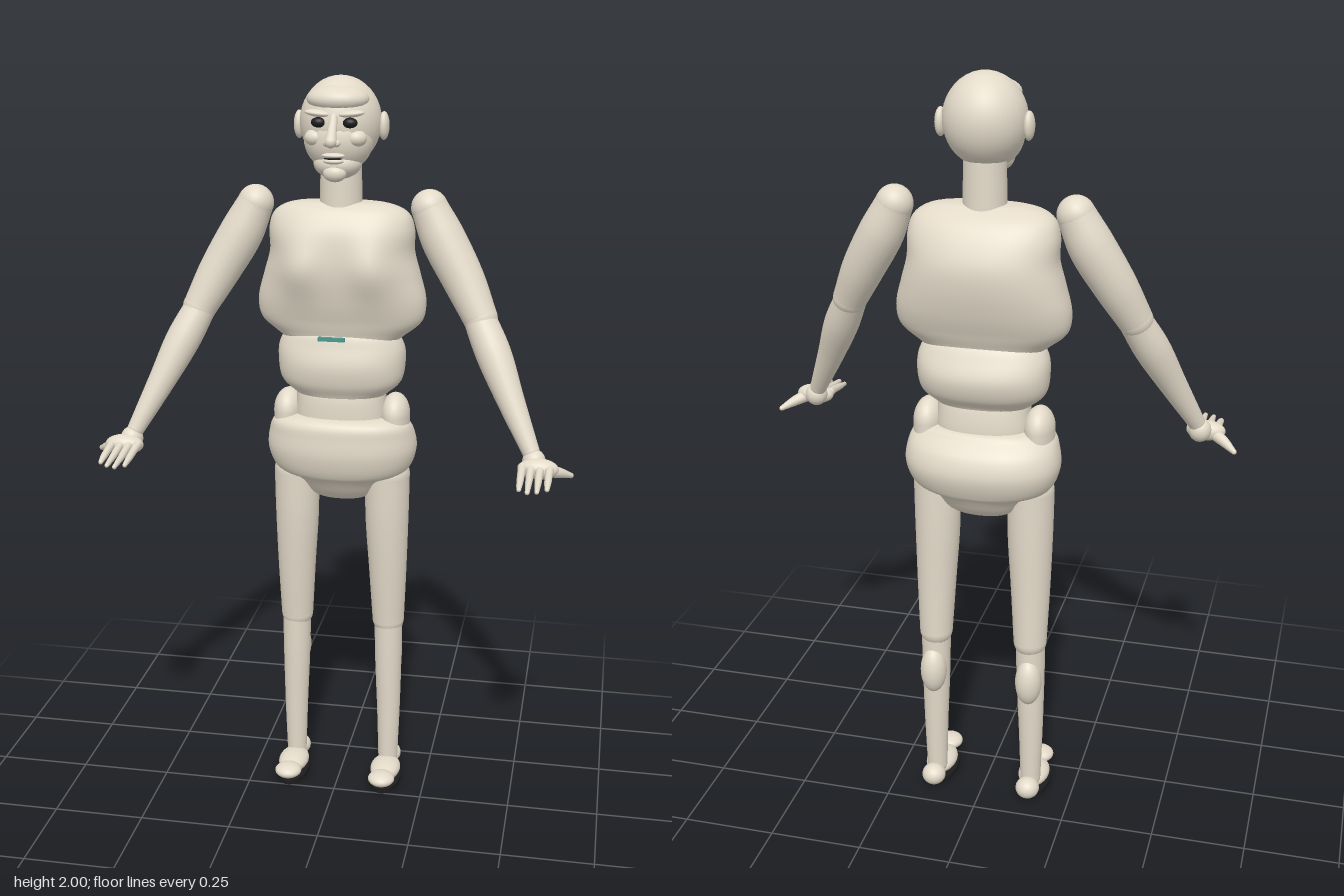
import * as THREE from 'three';

const skin = new THREE.MeshStandardMaterial({ color: 0xe3dac9 });
const dark = new THREE.MeshStandardMaterial({ color: 0x1c1c1c });
const teal = new THREE.MeshStandardMaterial({ color: 0x4a9a90 });

export function createModel() {
  const model = new THREE.Group();
  model.name = 'figure';

  const add = (name, geo, mat = skin, parent = model) => {
    const mesh = new THREE.Mesh(geo, mat);
    mesh.name = name;
    parent.add(mesh);
    return mesh;
  };

  // Closed tube of rings; fn(angle, v) gives the surface point
  const loft = (name, nu, nv, fn, parent) => {
    const pos = [], idx = [];
    for (let j = 0; j <= nv; j++)
      for (let i = 0; i < nu; i++) pos.push(...fn((i / nu) * Math.PI * 2, j / nv));
    for (let j = 0; j < nv; j++)
      for (let i = 0; i < nu; i++) {
        const a = j * nu + i, b = j * nu + ((i + 1) % nu);
        idx.push(a, b, a + nu, b, b + nu, a + nu);
      }
    const geo = new THREE.BufferGeometry();
    geo.setAttribute('position', new THREE.Float32BufferAttribute(pos, 3));
    geo.setIndex(idx);
    geo.computeVertexNormals();
    return add(name, geo, skin, parent);
  };

  const ball = (name, x, y, z, rx, ry = rx, rz = rx, mat = skin, parent = model) => {
    const mesh = add(name, new THREE.SphereGeometry(1, 28, 20), mat, parent);
    mesh.position.set(x, y, z);
    mesh.scale.set(rx, ry, rz);
    return mesh;
  };

  // Body section from rows of [y, half width, front z, back z], bottom to top
  const body = (name, rows, bulge = () => 0) => {
    const size = new THREE.CatmullRomCurve3(rows.map(([y, w]) => new THREE.Vector3(w, y, 0)), false, 'centripetal');
    const n = rows.length - 1;
    const depth = new THREE.CatmullRomCurve3(rows.map(([y, , f, b]) => new THREE.Vector3(f, y, b)), false, 'centripetal');
    const soft = (v) => Math.sign(v) * Math.abs(v) ** 0.88;
    return loft(name, 56, n * 6, (t, v) => {
      const { x: w, y } = size.getPoint(v);
      const { x: f, z: b } = depth.getPoint(v);
      const x = w * soft(Math.sin(t));
      const c = Math.cos(t);
      const z = (f + b) / 2 + ((f - b) / 2) * soft(c);
      return [x, y, z + Math.max(0, c) ** 0.5 * bulge(x, y)];
    });
  };

  // Limb along [x, y, z, radius] points with rounded ends
  const limb = (name, pts, s, parent, nu = 24) => {
    const curve = new THREE.CatmullRomCurve3(pts.map((p) => new THREE.Vector3(p[0] * s, p[1], p[2])));
    const radius = new THREE.CatmullRomCurve3(pts.map((p, i) => new THREE.Vector3(i, p[3], 0)));
    const nv = (pts.length - 1) * 8;
    const { normals, binormals } = curve.computeFrenetFrames(nv, false);
    loft(name, nu, nv, (t, v) => {
      const j = Math.round(v * nv), r = radius.getPoint(v).y;
      return curve.getPoint(v)
        .addScaledVector(normals[j], r * Math.cos(t))
        .addScaledVector(binormals[j], r * Math.sin(t)).toArray();
    }, parent);
    for (const p of [pts[0], pts.at(-1)]) ball(name + 'End', p[0] * s, p[1], p[2], p[3], p[3], p[3], skin, parent);
  };

  // Torso
  const pecs = (x, y) => 0.028 * Math.exp(-(((Math.abs(x) - 0.1) / 0.06) ** 2) - ((y - 1.52) / 0.075) ** 2);
  body('chest', [
    [1.3, 0.002, -0.11, -0.114], [1.305, 0.13, -0.05, -0.18], [1.335, 0.18, -0.04, -0.195],
    [1.37, 0.218, -0.03, -0.21], [1.42, 0.225, -0.015, -0.23], [1.49, 0.208, -0.003, -0.247],
    [1.55, 0.192, -0.002, -0.248], [1.61, 0.192, -0.01, -0.225], [1.65, 0.178, -0.03, -0.195],
    [1.675, 0.135, -0.055, -0.155], [1.683, 0.002, -0.105, -0.11]], pecs);
  body('belly', [
    [1.15, 0.1, -0.05, -0.18], [1.17, 0.13, -0.04, -0.19], [1.2, 0.162, -0.025, -0.215],
    [1.25, 0.172, -0.018, -0.228], [1.3, 0.168, -0.03, -0.21], [1.34, 0.14, -0.045, -0.185],
    [1.36, 0.01, -0.1, -0.12]]);
  body('waist', [
    [1.05, 0.12, -0.04, -0.19], [1.1, 0.125, -0.04, -0.195], [1.15, 0.122, -0.042, -0.19],
    [1.19, 0.12, -0.05, -0.18]]);
  body('pelvis', [
    [0.855, 0.002, -0.13, -0.134], [0.86, 0.06, -0.095, -0.165], [0.88, 0.095, -0.07, -0.195],
    [0.92, 0.125, -0.04, -0.225], [0.945, 0.18, -0.02, -0.243], [1, 0.204, -0.004, -0.26],
    [1.05, 0.2, -0.005, -0.247], [1.085, 0.185, -0.01, -0.215], [1.1, 0.15, -0.025, -0.2],
    [1.105, 0.002, -0.1, -0.104]]);
  const bar = add('chestBar', new THREE.BoxGeometry(0.07, 0.01, 0.01), teal);
  bar.position.set(0, 1.345, 0.035);

  // Neck and head
  const neck = add('neck', new THREE.CylinderGeometry(0.053, 0.056, 0.18, 32));
  neck.position.set(0, 1.725, -0.105);
  const head = new THREE.Group();
  head.name = 'head';
  model.add(head);
  const feature = (name, x, y, z, rx, ry, rz, mat) => ball(name, x, y, z, rx, ry, rz, mat, head);
  feature('cranium', 0, 1.885, -0.1, 0.105, 0.115, 0.105);
  feature('forehead', 0, 1.945, -0.058, 0.08, 0.036, 0.062);
  feature('face', 0, 1.845, -0.07, 0.09, 0.085, 0.078);
  feature('jaw', 0, 1.785, -0.055, 0.062, 0.04, 0.058);
  feature('chin', 0, 1.765, -0.012, 0.03, 0.022, 0.022);
  feature('upperLip', 0, 1.812, 0.008, 0.03, 0.007, 0.014);
  feature('lowerLip', 0, 1.798, 0.007, 0.026, 0.008, 0.014);
  feature('mouthLine', 0, 1.805, 0.013, 0.024, 0.003, 0.008, dark);
  limb('noseBridge', [[0, 1.905, 0.002, 0.01], [0, 1.875, 0.025, 0.012], [0, 1.85, 0.045, 0.015]], 1, head, 16);
  for (const s of [1, -1]) {
    feature('brow', s * 0.042, 1.914, -0.008, 0.034, 0.009, 0.018).rotation.z = s * 0.1;
    feature('eye', s * 0.04, 1.892, -0.004, 0.019, 0.013, 0.014, dark);
    feature('cheek', s * 0.052, 1.852, -0.025, 0.028, 0.022, 0.026);
    feature('nostril', s * 0.012, 1.845, 0.03, 0.01, 0.009, 0.013);
    feature('ear', s * 0.11, 1.875, -0.108, 0.014, 0.036, 0.024);
  }

  for (const s of [1, -1]) {
    const side = s > 0 ? 'left' : 'right';

    // Arm
    const arm = new THREE.Group();
    arm.name = side + 'Arm';
    model.add(arm);
    limb('upperArm', [[0.23, 1.668, -0.115, 0.048], [0.268, 1.59, -0.108, 0.058],
      [0.325, 1.49, -0.088, 0.055], [0.375, 1.395, -0.06, 0.045]], s, arm);
    limb('forearm', [[0.37, 1.4, -0.062, 0.042], [0.415, 1.31, -0.025, 0.046],
      [0.465, 1.205, 0.02, 0.036], [0.525, 1.085, 0.07, 0.023]], s, arm);

    // Hand, palm down with fingers forward
    const hand = new THREE.Group();
    hand.name = side + 'Hand';
    arm.add(hand);
    ball('wrist', s * 0.535, 1.06, 0.078, 0.03, 0.032, 0.03, skin, hand);
    ball('palm', s * 0.548, 1.05, 0.105, 0.052, 0.027, 0.029, skin, hand);
    [[0.577, 0.225], [0.553, 0.247], [0.53, 0.255], [0.508, 0.237]].forEach(([x, tip], i) => {
      limb('finger' + (i + 1), [[x, 1.055, 0.115, 0.012], [x, 1.05, 0.15, 0.01],
        [x, 1.043, 0.19, 0.009], [x, 1.036, tip - 0.006, 0.006]], s, hand, 12);
    });
    limb('thumb', [[0.57, 1.045, 0.1, 0.017], [0.6, 1.033, 0.077, 0.014], [0.63, 1.018, 0.05, 0.007]], s, hand, 12);

    // Hip pad
    const hip = add(side + 'Hip', new THREE.CapsuleGeometry(1, 2, 12, 28));
    hip.scale.set(0.04, 0.06, 0.06);
    hip.position.set(s * 0.147, 1.045, -0.12);

    // Leg
    const leg = new THREE.Group();
    leg.name = side + 'Leg';
    model.add(leg);
    limb('thigh', [[0.127, 0.93, -0.125, 0.062], [0.127, 0.8, -0.127, 0.06],
      [0.13, 0.65, -0.132, 0.053], [0.132, 0.49, -0.14, 0.045]], s, leg);
    limb('shin', [[0.133, 0.48, -0.138, 0.04], [0.134, 0.36, -0.138, 0.038],
      [0.136, 0.2, -0.138, 0.033], [0.136, 0.05, -0.137, 0.028]], s, leg);
    ball('calf', s * 0.134, 0.375, -0.166, 0.036, 0.068, 0.038, skin, leg);

    // Foot
    ball('heel', s * 0.136, 0.037, -0.175, 0.033, 0.03, 0.033, skin, leg);
    ball('instep', s * 0.136, 0.034, -0.09, 0.043, 0.026, 0.066, skin, leg);
    ball('toes', s * 0.136, 0.043, -0.01, 0.038, 0.02, 0.038, skin, leg);
    const sole = add('sole', new THREE.CylinderGeometry(1, 1, 0.012, 32), dark, leg);
    sole.scale.set(0.045, 1, 0.086);
    sole.position.set(s * 0.136, 0.006, -0.085);
  }
  return model;
}
